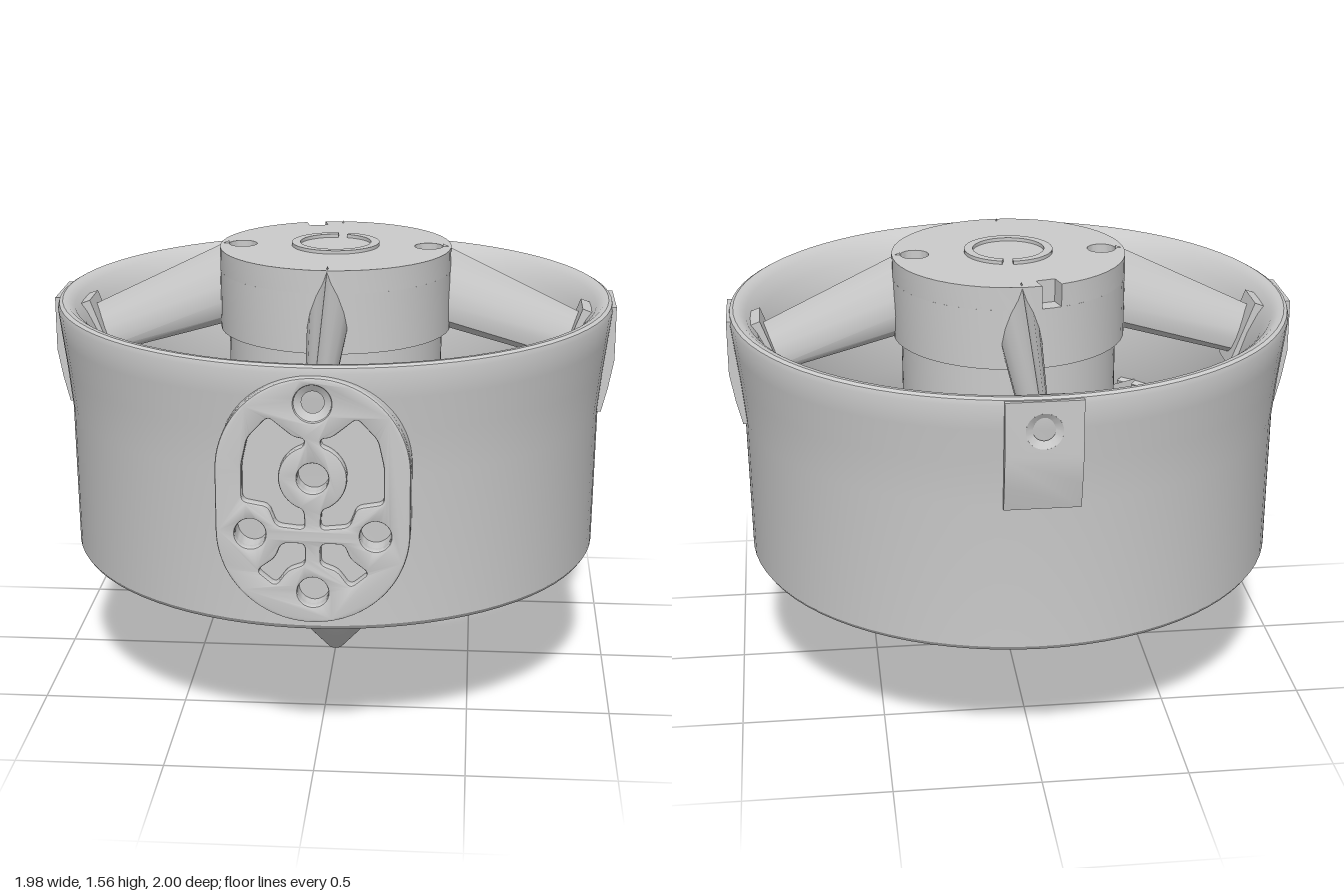
import * as THREE from 'three';
import { toCreasedNormals } from 'three/addons/utils/BufferGeometryUtils.js';

const TAU = Math.PI * 2;
const lerp = THREE.MathUtils.lerp;
const mat = new THREE.MeshStandardMaterial({ color: 0xcccccc });
const thin = new THREE.MeshStandardMaterial({ color: 0xcccccc, side: THREE.DoubleSide });

function add(parent, name, geo, material = mat, crease = 0.55) {
  const mesh = new THREE.Mesh(toCreasedNormals(geo, crease), material);
  mesh.name = name;
  parent.add(mesh);
  return mesh;
}

const lathe = (pts, segs = 72) =>
  new THREE.LatheGeometry(pts.map(([x, y]) => new THREE.Vector2(x, y)), segs);

const extrude = (shape, depth, opts = {}) =>
  new THREE.ExtrudeGeometry(shape, { depth, bevelEnabled: false, curveSegments: 24, ...opts });

// Flat slab lying on y = bottom
const slab = (shape, bottom, depth) => extrude(shape, depth).rotateX(-Math.PI / 2).translate(0, bottom, 0);

const circle = (x, y, r) => new THREE.Path().absarc(x, y, r, 0, TAU, false);

// Move every vertex by a rule
function warp(geo, rule) {
  const p = geo.attributes.position;
  for (let i = 0; i < p.count; i++) p.setXYZ(i, ...rule(p.getX(i), p.getY(i), p.getZ(i)));
  return geo;
}

// Closed path through points with softened corners
function rounded(pts, r = 0.02) {
  const v = pts.map(([x, y]) => new THREE.Vector2(x, y));
  const path = new THREE.Path();
  v.forEach((c, i) => {
    const toward = (q) => {
      const d = q.clone().sub(c);
      return c.clone().add(d.setLength(Math.min(r, d.length() * 0.45)));
    };
    const a = toward(v[(i + v.length - 1) % v.length]);
    const b = toward(v[(i + 1) % v.length]);
    if (i === 0) path.moveTo(a.x, a.y); else path.lineTo(a.x, a.y);
    path.quadraticCurveTo(c.x, c.y, b.x, b.y);
  });
  path.closePath();
  return path;
}

// Tapered vane running outward along +z, with a pointed top and rounded underside
function vane({ r, w, top, bottom }) {
  const half = [[0.1, 0.86], [0.27, 0.7], [0.42, 0.5], [0.5, 0.3], [0.42, 0.1], [0.2, 0.0]];
  const pts = [[0, 1], ...half.map(([x, y]) => [-x, y]), ...half.slice().reverse()];
  const shape = new THREE.Shape(pts.map(([x, y]) => new THREE.Vector2(x, y)));
  return warp(extrude(shape, 1), (x, y, z) => [
    x * lerp(w[0], w[1], z),
    lerp(lerp(bottom[0], bottom[1], z), lerp(top[0], top[1], z), y),
    lerp(r[0], r[1], z)]);
}

// Conical screw seat facing +z
const countersink = (y, z) => lathe([[0.036, -0.014], [0.06, 0]], 28).rotateX(Math.PI / 2).translate(0, y, z);

function screwPad() {
  const s = new THREE.Shape([[-0.125, 0.99], [0.125, 0.99], [0.125, 1.08], [0.125, 1.18], [0.125, 1.37],
    [-0.125, 1.37], [-0.125, 1.18], [-0.125, 1.08]].map(([x, y]) => new THREE.Vector2(x, y)));
  s.holes.push(circle(0, 1.27, 0.06));
  const face = (y) => (y < 1.08 ? lerp(0.95, 0.972, (y - 0.99) / 0.09) : Math.min(0.99, 0.972 + (y - 1.08) * 0.18));
  return warp(extrude(s, 1), (x, y, z) => [x, y, face(y) - 0.04 * (1 - z)]);
}

function stadium() {
  const s = new THREE.Shape();
  s.absarc(0, 1.04, 0.31, 0, Math.PI, false);
  s.absarc(0, 0.84, 0.31, Math.PI, TAU, false);
  s.closePath();
  return s;
}

function mountPlate(parent) {
  const g = new THREE.Group();
  g.name = 'mountPlate';
  parent.add(g);
  const bolts = [[0, 1.02], [-0.2, 0.83], [0.2, 0.83], [0, 0.635]].map(([x, y]) => circle(x, y, 0.05));

  // Base layer, its back following the duct wall
  const base = stadium();
  base.holes.push(...bolts, circle(0, 1.265, 0.06));
  add(g, 'mountBase', warp(extrude(base, 1), (x, y, z) =>
    [x, y, z > 0.5 ? 0.977 : Math.sqrt(0.91 ** 2 - x * x)]));

  // Face layer with weight-saving pockets around the bosses
  const face = stadium();
  face.holes.push(...bolts, circle(0, 1.265, 0.06));
  const upper = [[-0.025, 1.15], [-0.06, 1.155], [-0.14, 1.22], [-0.205, 1.15], [-0.225, 1.06],
    [-0.225, 0.94], [-0.14, 0.925], [-0.115, 0.86], [-0.025, 0.85]];
  for (let a = 255; a >= 105; a -= 15) {
    const t = THREE.MathUtils.degToRad(a);
    upper.push([0.11 * Math.cos(t), 1.02 + 0.11 * Math.sin(t)]);
  }
  const lower = [[-0.025, 0.8], [-0.1, 0.8], [-0.12, 0.75], [-0.18, 0.705], [-0.12, 0.655], [-0.08, 0.71], [-0.025, 0.73]];
  for (const pocket of [upper, lower]) {
    for (const side of [1, -1]) face.holes.push(rounded(pocket.map(([x, y]) => [x * side, y])));
  }
  add(g, 'mountFace', extrude(face, 0.025, {
    bevelEnabled: true, bevelThickness: 0.008, bevelSize: 0.008, bevelOffset: -0.008, bevelSegments: 2,
  }).translate(0, 0, 0.977), mat, 0.4);
  add(g, 'mountScrewSeat', countersink(1.265, 1.0), thin);
}

function hub(parent) {
  const g = new THREE.Group();
  g.name = 'hub';
  parent.add(g);
  add(g, 'noseCone', lathe([[0, 0], [0.025, 0.003], [0.1, 0.085], [0.18, 0.18], [0.25, 0.275], [0.31, 0.365], [0.355, 0.44],
    [0.385, 0.52], [0.405, 0.62], [0.41, 0.72], [0.41, 0.92], [0.38, 0.94], [0.38, 1.265], [0, 1.265]]));

  const holes = [circle(-0.33, 0, 0.05), circle(0.33, 0, 0.05)];
  const block = new THREE.Shape().absarc(0, 0, 0.41, 0, TAU, false);
  block.holes.push(...holes);
  add(g, 'hubBlock', slab(block, 1.26, 0.21));

  // Top slab with a cable notch in its edge
  const a = 1.822, d = 0.085;
  const cap = new THREE.Shape().absarc(0, 0, 0.41, a + d, a - d + TAU, false);
  for (const t of [a - d * 1.15, a + d * 1.15]) cap.lineTo(0.35 * Math.cos(t), 0.35 * Math.sin(t));
  cap.closePath();
  cap.holes.push(...holes);
  add(g, 'hubCap', slab(cap, 1.47, 0.08));

  // Raised split ring
  const ring = new THREE.Shape();
  const from = Math.PI / 2, to = from + TAU - 0.25;
  ring.absarc(0, 0, 0.155, from, to, false);
  ring.absarc(0, 0, 0.125, to, from, true);
  ring.closePath();
  add(g, 'splitRing', slab(ring, 1.55, 0.012));
}

export function createModel() {
  const model = new THREE.Group();
  model.name = 'ductedFanHousing';
  const body = new THREE.Group();
  body.name = 'body';
  body.position.z = -0.01;
  model.add(body);

  // Duct wall: flared intake, straight throat, widening outlet
  add(body, 'duct', lathe([[0.91, 0.475], [0.93, 0.475], [0.94, 0.49], [0.945, 1.0], [0.96, 1.15], [0.975, 1.27],
    [0.985, 1.355], [0.98, 1.373], [0.968, 1.38], [0.95, 1.378], [0.925, 1.36], [0.89, 1.31], [0.855, 1.24], [0.825, 1.15],
    [0.805, 1.05], [0.8, 0.95], [0.8, 0.86], [0.815, 0.74], [0.85, 0.62], [0.9, 0.49], [0.91, 0.475]], 80));

  hub(body);
  mountPlate(body);

  for (let i = 0; i < 4; i++) {
    // Upper struts on the axes, with feet against the flared intake
    const strut = new THREE.Group();
    strut.name = 'upperStrut';
    strut.rotation.y = i * Math.PI / 2;
    body.add(strut);
    add(strut, 'strut', vane({ r: [0.38, 0.87], w: [0.14, 0.075], top: [1.56, 1.32], bottom: [1.27, 1.13] }));
    const foot = add(strut, 'strutFoot', new THREE.BoxGeometry(0.155, 0.25, 0.05));
    foot.position.set(0, 1.225, 0.855);
    foot.rotation.x = 0.36;
    if (i > 0) {
      add(strut, 'screwPad', screwPad());
      add(strut, 'screwSeat', countersink(1.27, 0.99), thin);
    }

    // Lower stator vanes on the diagonals, with feet against the outlet
    const stator = new THREE.Group();
    stator.name = 'lowerStator';
    stator.rotation.y = (i + 0.5) * Math.PI / 2;
    body.add(stator);
    add(stator, 'statorVane', vane({ r: [0.33, 0.895], w: [0.13, 0.055], top: [0.9, 0.82], bottom: [0.5, 0.485] }));
    const shoe = add(stator, 'statorFoot', new THREE.BoxGeometry(0.13, 0.3, 0.04));
    shoe.position.set(0, 0.68, 0.836);
    shoe.rotation.x = -0.27;
  }
  return model;
}
